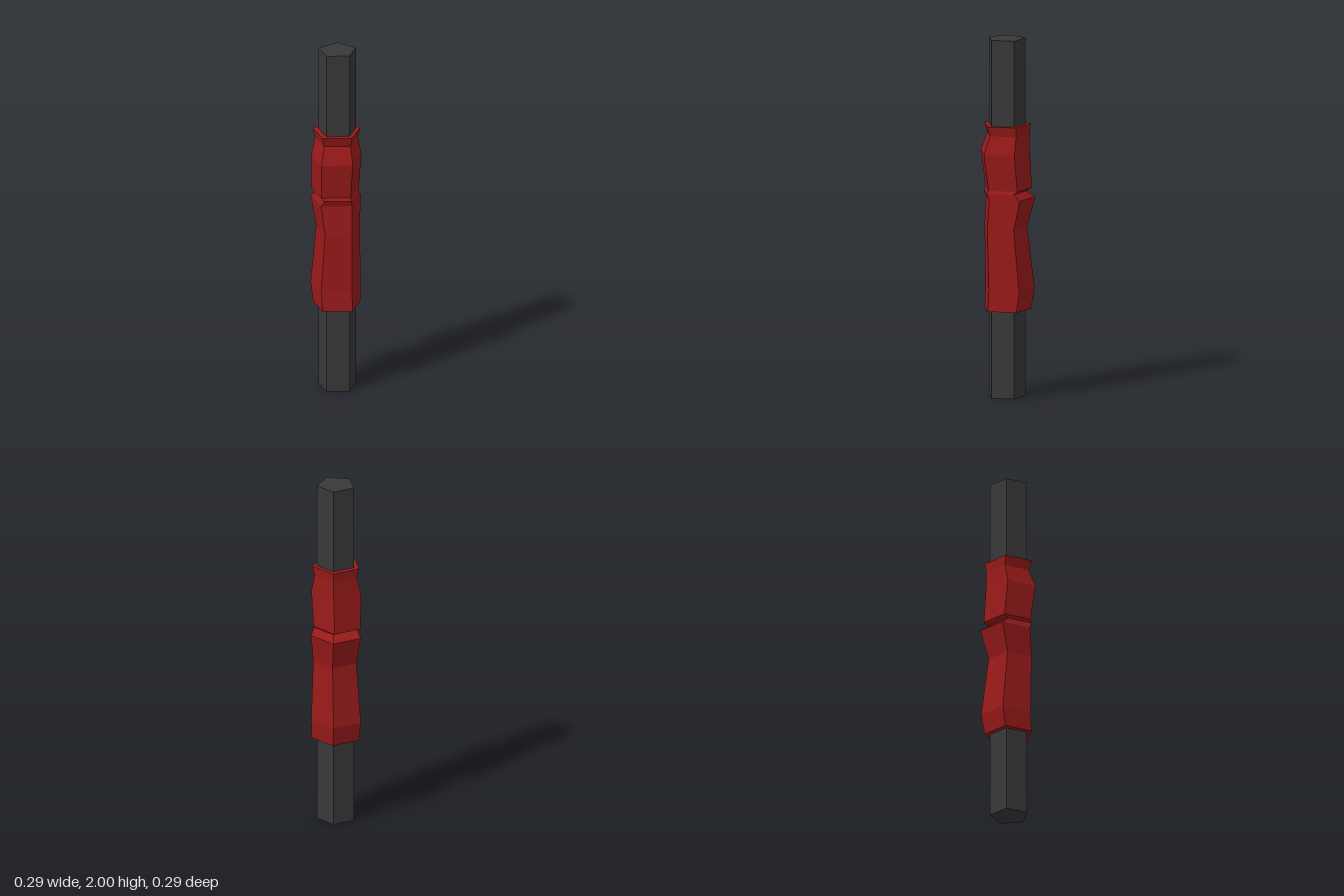
import * as THREE from 'three';

// Pentagonal loft through rings of [y, centreX, centreZ, radius], listed bottom to top
function pentagonLoft(name, rings, color) {
  const last = rings.length - 1;
  const geometry = new THREE.CylinderGeometry(1, 1, 1, 5, last, false, Math.PI / 2);
  const p = geometry.attributes.position;
  for (let i = 0; i < p.count; i++) {
    const [y, cx, cz, r] = rings[Math.round((p.getY(i) + 0.5) * last)];
    p.setXYZ(i, cx + p.getX(i) * r, y, cz + p.getZ(i) * r);
  }
  geometry.computeVertexNormals();
  const mesh = new THREE.Mesh(geometry, new THREE.MeshStandardMaterial({ color, flatShading: true }));
  mesh.name = name;
  return mesh;
}

export function createModel() {
  const model = new THREE.Group();
  model.name = 'wrappedRod';

  // Straight five-sided rod
  model.add(pentagonLoft('rod', [
    [0, -0.011, -0.004, 0.108],
    [2, -0.011, -0.004, 0.108],
  ], 0x383838));

  // Crumpled grip around the middle, each ring slightly shifted and resized
  model.add(pentagonLoft('grip', [
    [0.487, -0.013, -0.003, 0.138],
    [0.6, -0.027, -0.006, 0.145],
    [0.945, -0.001, -0.001, 0.126],
    [1.11, -0.029, -0.008, 0.1455],
    [1.145, -0.001, 0.004, 0.126],
    [1.16, -0.024, 0.001, 0.137],
    [1.365, -0.003, 0.008, 0.145],
    [1.465, -0.018, -0.004, 0.124],
    [1.52, -0.013, -0.001, 0.138],
  ], 0x991a1a));

  return model;
}
